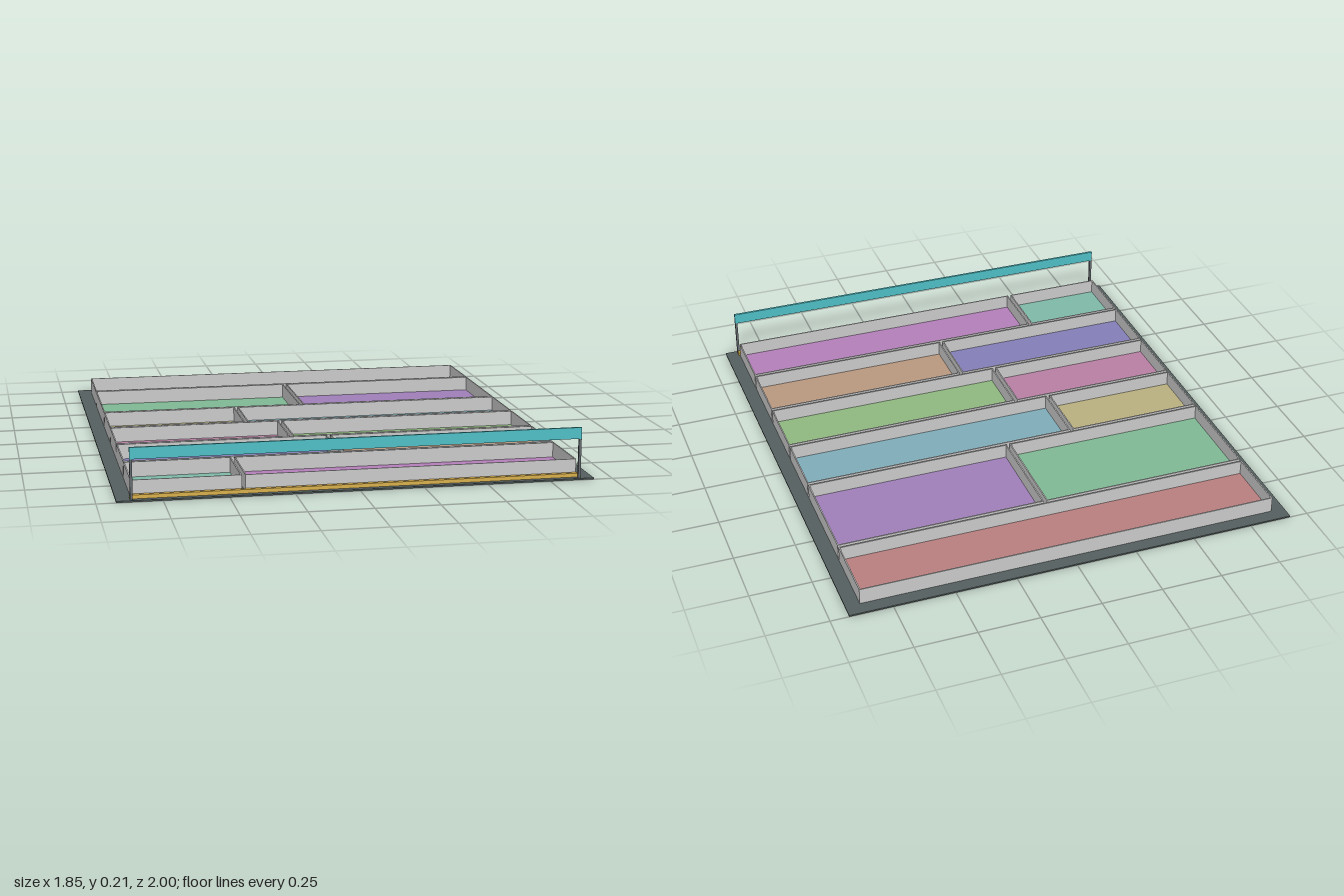
import * as THREE from 'three';

const BASE_H = 0.006, FLOOR_H = 0.006, WALL_TOP = 0.072, WALL_T = 0.005;
const HALF_W = 0.867, GAP = 0.013;

function mat(color) {
  return new THREE.MeshStandardMaterial({ color });
}

// Box given by its lower and upper corners
function slab(name, color, [x0, y0, z0], [x1, y1, z1]) {
  const mesh = new THREE.Mesh(new THREE.BoxGeometry(x1 - x0, y1 - y0, z1 - z0), mat(color));
  mesh.position.set((x0 + x1) / 2, (y0 + y1) / 2, (z0 + z1) / 2);
  mesh.name = name;
  return mesh;
}

function rectangle(target, w, d) {
  target.moveTo(-w / 2, -d / 2);
  target.lineTo(w / 2, -d / 2);
  target.lineTo(w / 2, d / 2);
  target.lineTo(-w / 2, d / 2);
  target.closePath();
  return target;
}

// Open tray: coloured floor with a thin upright wall around it
function tray(name, color, x0, x1, z0, z1) {
  const group = new THREE.Group();
  group.name = name;
  const w = x1 - x0, d = z1 - z0;
  const outline = rectangle(new THREE.Shape(), w, d);
  outline.holes.push(rectangle(new THREE.Path(), w - 2 * WALL_T, d - 2 * WALL_T));
  const geometry = new THREE.ExtrudeGeometry(outline, { depth: WALL_TOP - BASE_H, bevelEnabled: false });
  geometry.rotateX(-Math.PI / 2);
  const wall = new THREE.Mesh(geometry, mat(0xcccccc));
  wall.name = 'trayWall';
  wall.position.set((x0 + x1) / 2, BASE_H, (z0 + z1) / 2);
  const t = WALL_T;
  group.add(wall, slab('trayFloor', color,
    [x0 + t, BASE_H, z0 + t], [x1 - t, BASE_H + FLOOR_H, z1 - t]));
  return group;
}

export function createModel() {
  const model = new THREE.Group();
  model.name = 'dividedShelf';

  // Base plate
  model.add(slab('basePlate', 0x555f5f, [-0.925, 0, -1], [0.925, BASE_H, 1]));

  // Rows of trays from back to front: depth, floor colours, divider position
  const rows = [
    { depth: 0.28, colors: [0xb98080] },
    { depth: 0.43, colors: [0x80b994, 0xa080b9], split: 0 },
    { depth: 0.28, colors: [0xb9b180, 0x80adb9], split: -0.293 },
    { depth: 0.28, colors: [0xb980a4, 0x90b980], split: -0.15 },
    { depth: 0.28, colors: [0x8480b9, 0xb99880], split: 0 },
    { depth: 0.28, colors: [0x80b9a8, 0xb480b9], split: -0.44 },
  ];
  let z = -0.945;
  rows.forEach(({ depth, colors, split }, i) => {
    const z1 = z + depth;
    if (colors.length === 1) {
      model.add(tray(`tray${i + 1}`, colors[0], -HALF_W, HALF_W, z, z1));
    } else {
      model.add(tray(`tray${i + 1}Right`, colors[0], -HALF_W, split - GAP / 2, z, z1));
      model.add(tray(`tray${i + 1}Left`, colors[1], split + GAP / 2, HALF_W, z, z1));
    }
    z = z1 + GAP;
  });

  // Front strip, then the raised rail on its two posts
  model.add(slab('frontStrip', 0xd9b04c, [-0.873, BASE_H, 0.958], [0.873, 0.021, 0.976]));
  model.add(slab('frontRail', 0x4fc0c6, [-0.873, 0.162, 0.983], [0.873, 0.207, 0.993]));
  for (const [side, x] of [['right', -0.868], ['left', 0.868]]) {
    model.add(slab(`${side}Post`, 0x666b70, [x - 0.005, BASE_H, 0.983], [x + 0.005, 0.162, 0.993]));
  }
  return model;
}
